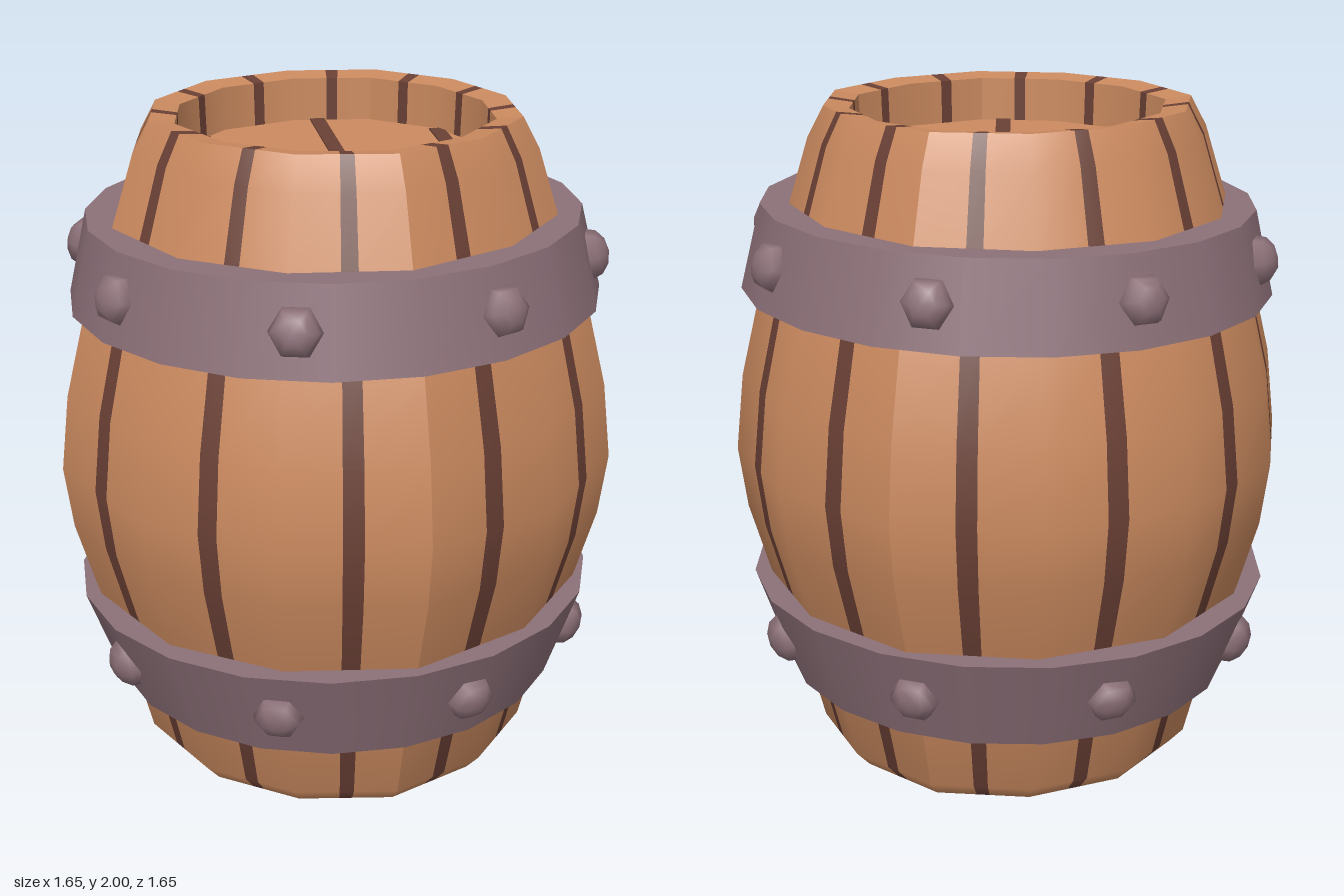
import * as THREE from 'three';

const mat = (name, color) => {
  const m = new THREE.MeshStandardMaterial({ color });
  m.name = name;
  return m;
};

// Stave corners: angle in degrees from +x towards +z; four corners are sharp and stand out a little
const ANGLES = [6.5, 35, 64, 94.2, 125, 154.7, 184.2, 216, 245.6, 276.8, 308, 337.3];
const SHARP = [64, 125, 216, 337.3];
const isSharp = (i) => SHARP.includes(ANGLES[i]);
const rad = THREE.MathUtils.degToRad;

// Outline of the barrel as [radius, height] runs; each run is smooth, joints between runs are sharp
const SIDE = [[0.545, 0], [0.59, 0.05], [0.64, 0.25], [0.745, 0.57], [0.805, 0.78], [0.83, 0.97],
  [0.805, 1.2], [0.745, 1.45], [0.65, 1.71], [0.588, 1.91], [0.54, 2]];
const RIM = [[0.54, 2], [0.465, 1.99]];
const INNER = [[0.465, 1.99], [0.46, 1.85]];
const BASE = [[0.001, 0], [0.545, 0]];

// Sweeps a run around the staves, covering only the part t0..t1 of every facet
function staves(run, spans) {
  const pos = [], nor = [], idx = [];
  const slopes = run.map((p, k) => {
    const a = run[Math.max(0, k - 1)], b = run[Math.min(run.length - 1, k + 1)];
    const l = Math.hypot(b[0] - a[0], b[1] - a[1]);
    return [(b[1] - a[1]) / l, -(b[0] - a[0]) / l];
  });
  const n = ANGLES.length;
  for (let i = 0; i < n; i++) {
    const j = (i + 1) % n;
    const a0 = rad(ANGLES[i]), a1 = rad(ANGLES[j] + (j ? 0 : 360));
    const s0 = isSharp(i) ? 1.02 : 1, s1 = isSharp(j) ? 1.02 : 1;
    const x0 = Math.cos(a0) * s0, z0 = Math.sin(a0) * s0;
    const x1 = Math.cos(a1) * s1, z1 = Math.sin(a1) * s1;
    const face = Math.atan2(-(x1 - x0), z1 - z0);
    const wrap = (a) => face + Math.atan2(Math.sin(a - face), Math.cos(a - face));
    const n0 = isSharp(i) ? face : wrap(a0), n1 = isSharp(j) ? face : wrap(a1);
    for (const [t0, t1] of spans) {
      const start = pos.length / 3;
      run.forEach(([r, y], k) => {
        for (const t of [t0, t1]) {
          const na = n0 + (n1 - n0) * t;
          pos.push(r * (x0 + (x1 - x0) * t), y, r * (z0 + (z1 - z0) * t));
          nor.push(Math.cos(na) * slopes[k][0], slopes[k][1], Math.sin(na) * slopes[k][0]);
        }
        if (k) {
          const b = start + 2 * (k - 1);
          idx.push(b, b + 2, b + 1, b + 1, b + 2, b + 3);
        }
      });
    }
  }
  const g = new THREE.BufferGeometry();
  g.setAttribute('position', new THREE.Float32BufferAttribute(pos, 3));
  g.setAttribute('normal', new THREE.Float32BufferAttribute(nor, 3));
  g.setIndex(idx);
  return g;
}

export function createModel() {
  const wood = mat('wood', 0xcb8a5f);
  const gap = mat('dark seam', 0x6a4035);
  const metal = mat('hoop metal', 0x8c7078);
  const barrel = new THREE.Group();
  barrel.name = 'barrel';
  const add = (parent, name, geo, material) => {
    const m = new THREE.Mesh(geo, material);
    m.name = name;
    parent.add(m);
    return m;
  };

  // Staves with a dark seam down the middle of each facet
  const runs = { side: SIDE, rim: RIM, innerWall: INNER };
  for (const [name, run] of Object.entries(runs)) {
    add(barrel, name + 'Staves', staves(run, [[0, 0.43], [0.57, 1]]), wood);
    add(barrel, name + 'Seams', staves(run, [[0.43, 0.57]]), gap);
  }
  add(barrel, 'base', staves(BASE, [[0, 1]]), gap);

  // Sunken lid with diagonal plank seams
  const lid = add(barrel, 'lid', new THREE.CircleGeometry(0.48, 24).rotateX(-Math.PI / 2), wood);
  lid.position.y = 1.86;
  for (const d of [-0.36, 0.015, 0.36]) {
    const len = 2 * Math.sqrt(0.45 ** 2 - d * d);
    const seam = add(barrel, 'lidSeam', new THREE.BoxGeometry(len, 0.006, 0.045), gap);
    seam.position.set(d * Math.SQRT1_2, 1.862, d * Math.SQRT1_2);
    seam.rotation.y = Math.PI / 4;
  }

  // Flared hoops, each with eight six-sided rivets
  const hoop = (name, y0, r0, y1, r1, offset) => {
    const g = new THREE.Group();
    g.name = name;
    const mid = (y0 + y1) / 2, h = (y1 - y0) / 2;
    g.position.y = mid;
    g.rotation.set(-0.01, 0, 0.009);
    add(g, 'hoopBand', new THREE.CylinderGeometry(r1, r0, 2 * h, 20, 1, true), metal);
    for (const [y, r, turn] of [[h, r1, -1], [-h, r0, 1]]) {
      const ring = new THREE.RingGeometry(0.56, r, 20, 1, Math.PI / 2).rotateX(turn * Math.PI / 2);
      add(g, 'hoopEdge', ring, metal).position.y = y;
    }
    const tilt = Math.atan2(r0 - r1, 2 * h);
    for (let i = 0; i < 8; i++) {
      const pivot = new THREE.Group();
      pivot.name = 'rivet';
      pivot.rotation.y = Math.PI / 2 - rad(offset + 45 * i);
      const dome = new THREE.SphereGeometry(0.076, 6, 3, 0, Math.PI * 2, 0, Math.PI / 2);
      const head = add(pivot, 'rivetHead', dome.scale(1, 0.75, 1), metal);
      head.rotation.x = Math.PI / 2 - tilt;
      head.position.z = (r0 + r1) / 2 - 0.008;
      g.add(pivot);
    }
    barrel.add(g);
  };
  hoop('upperHoop', 1.455, 0.795, 1.708, 0.735, 16.2);
  hoop('lowerHoop', 0.255, 0.69, 0.55, 0.795, 21);

  return barrel;
}
